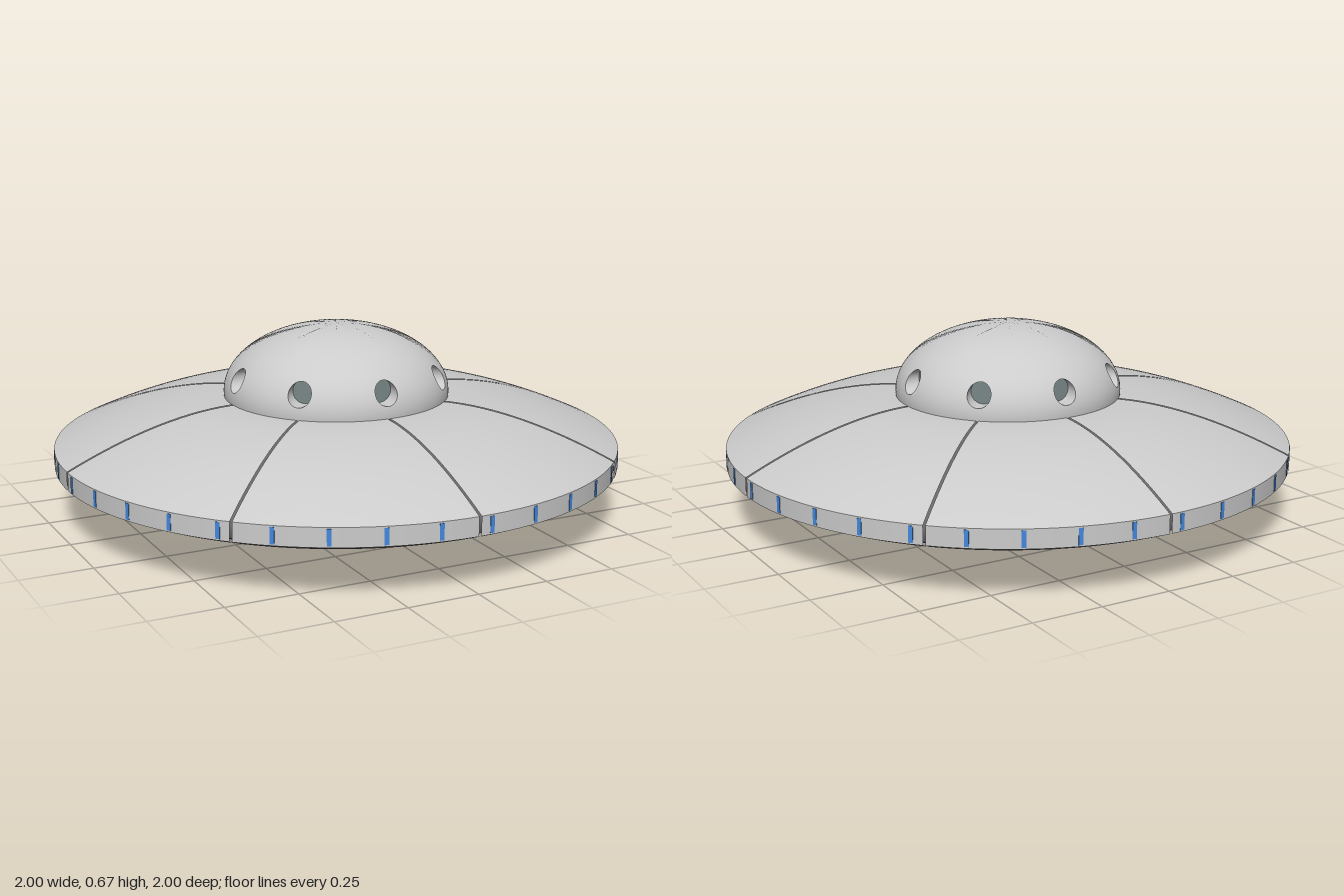
import * as THREE from 'three';
import { mergeGeometries } from 'three/addons/utils/BufferGeometryUtils.js';

const V = (x, y) => new THREE.Vector2(x, y);
const grey = new THREE.MeshStandardMaterial({ color: 0xcccccc });
const dark = new THREE.MeshStandardMaterial({ color: 0x666666 });
const blue = new THREE.MeshStandardMaterial({ color: 0x4488dd });
const glass = new THREE.MeshStandardMaterial({ color: 0x7a8888 });

function mesh(name, geometry, material = grey) {
  const m = new THREE.Mesh(geometry, material);
  m.name = name;
  return m;
}

// Turned part with a hard edge at every profile point
function turned(points) {
  return mergeGeometries(points.slice(1).map((p, i) => new THREE.LatheGeometry([points[i], p], 128)));
}

// Surface of rows x columns from a point rule
function surface(rows, cols, rule) {
  const pos = [], index = [];
  for (let i = 0; i <= rows; i++)
    for (let j = 0; j <= cols; j++) pos.push(...rule(i / rows, (j / cols) * Math.PI * 2));
  for (let i = 0; i < rows; i++)
    for (let j = 0; j < cols; j++) {
      const a = i * (cols + 1) + j, d = a + cols + 1;
      index.push(a, d, d + 1, a, d + 1, a + 1);
    }
  const g = new THREE.BufferGeometry();
  g.setAttribute('position', new THREE.Float32BufferAttribute(pos, 3));
  g.setIndex(index);
  g.computeVertexNormals();
  return g;
}

// Hull profile, from the underside out to the rim and back over the top
const lower = new THREE.QuadraticBezierCurve(V(0.5, 0.088), V(0.78, 0.088), V(1, 0.19)).getPoints(20);
const upper = new THREE.QuadraticBezierCurve(V(1, 0.255), V(0.66, 0.415), V(0.385, 0.417)).getPoints(20);
const rim = [V(1, 0.19), V(1, 0.255)];

// One eighth of the hull, narrowed to leave a seam of even width
function hullPanel(profile) {
  const g = new THREE.LatheGeometry(profile, 16, 0, Math.PI / 4);
  const p = g.attributes.position, half = Math.PI / 8, gap = 0.004;
  for (let i = 0; i < p.count; i++) {
    const r = Math.hypot(p.getX(i), p.getZ(i));
    const a = half + (Math.atan2(p.getX(i), p.getZ(i)) - half) * (1 - gap / (r * half));
    p.setXYZ(i, r * Math.sin(a), p.getY(i), r * Math.cos(a));
  }
  return g;
}

// Dome: a flattened ellipsoid, in eight sections with a round porthole each
const R = 0.4, H = 0.24, BASE = 0.43, PORT_Y = 0.5, PORT_R = 0.041, PORT_DEPTH = 0.335;
const elevation = (y) => Math.asin((y - BASE) / H);
const onDome = (u, t) => [R * Math.cos(t) * Math.sin(u), BASE + H * Math.sin(t), R * Math.cos(t) * Math.cos(u)];

function portEdge(phi) {
  const t = elevation(PORT_Y + PORT_R * Math.sin(phi));
  return [Math.asin((PORT_R * Math.cos(phi)) / (R * Math.cos(t))), t];
}

function domeSection() {
  const mid = elevation(PORT_Y), low = elevation(0.414);
  const g = surface(16, 64, (k, phi) => {
    const [u, t] = portEdge(phi);
    const c = Math.cos(phi), s = Math.sin(phi), m = Math.max(Math.abs(c), Math.abs(s));
    const edgeU = (c / m) * Math.PI / 8;
    const edgeT = mid + (s / m) * (s > 0 ? Math.PI / 2 - mid : mid - low);
    return onDome(u + (edgeU - u) * k, t + (edgeT - t) * k);
  });
  const p = g.attributes.position, n = new THREE.Vector3();
  for (let i = 0; i < p.count; i++) {
    n.set(p.getX(i) / R ** 2, (p.getY(i) - BASE) / H ** 2, p.getZ(i) / R ** 2).normalize();
    g.attributes.normal.setXYZ(i, n.x, n.y, n.z);
  }
  return g;
}

const portTunnel = () => surface(1, 48, (k, phi) => {
  const edge = onDome(...portEdge(phi));
  return [edge[0], edge[1], k ? edge[2] : PORT_DEPTH];
});

export function createModel() {
  const model = new THREE.Group();

  // Hull panels and dome sections repeat every 45 degrees
  const panels = { upperHullPanel: hullPanel(upper.slice()), rimPanel: hullPanel(rim), lowerHullPanel: hullPanel(lower) };
  const section = domeSection(), tunnel = portTunnel();
  const pane = new THREE.CircleGeometry(PORT_R, 48).translate(0, PORT_Y, PORT_DEPTH);
  for (let i = 0; i < 8; i++) {
    const sector = new THREE.Group();
    sector.name = 'sector';
    sector.rotation.y = (i * Math.PI) / 4;
    for (const name in panels) sector.add(mesh(name, panels[name]));
    sector.add(mesh('domeSection', section), mesh('portholeFrame', tunnel), mesh('portholeGlass', pane, glass));
    model.add(sector);
  }

  // Inner hull that shows as the floor of the seams
  const inner = [
    ...lower.map((p) => V(p.x - 0.008, p.y + 0.008)),
    ...upper.map((p) => V(p.x - 0.008, p.y - 0.008)),
  ];
  model.add(mesh('seamFloor', new THREE.LatheGeometry(inner, 128), dark));

  // Rim lights
  const light = new THREE.BoxGeometry(0.015, 0.055, 0.02).translate(0, 0.2225, 0.9915);
  for (let i = 0; i < 36; i++) {
    const m = mesh('rimLight', light, blue);
    m.rotation.y = THREE.MathUtils.degToRad(2.5 + i * 10);
    model.add(m);
  }

  // Stepped collar under the hull, with a recessed bolted channel
  model.add(mesh('collar', turned([
    V(0.4, 0.045), V(0.428, 0.045), V(0.428, 0.055), V(0.468, 0.055), V(0.468, 0.045), V(0.48, 0.045), V(0.525, 0.092),
  ])));
  model.add(mesh('collarChannel', turned([V(0.428, 0.054), V(0.468, 0.054)]), dark));
  const bolt = new THREE.CylinderGeometry(0.008, 0.008, 0.008, 12).translate(0, 0.051, 0.448);
  for (let i = 0; i < 8; i++) {
    const m = mesh('bolt', bolt);
    m.rotation.y = ((i + 0.5) * Math.PI) / 4;
    model.add(m);
  }

  // Base ring and the recessed glowing disc
  model.add(mesh('baseRing', turned([V(0.38, 0.046), V(0.38, 0), V(0.413, 0), V(0.413, 0.046)])));
  model.add(mesh('engineDisc', new THREE.CircleGeometry(0.381, 96).rotateX(Math.PI / 2).translate(0, 0.03, 0), blue));
  return model;
}
